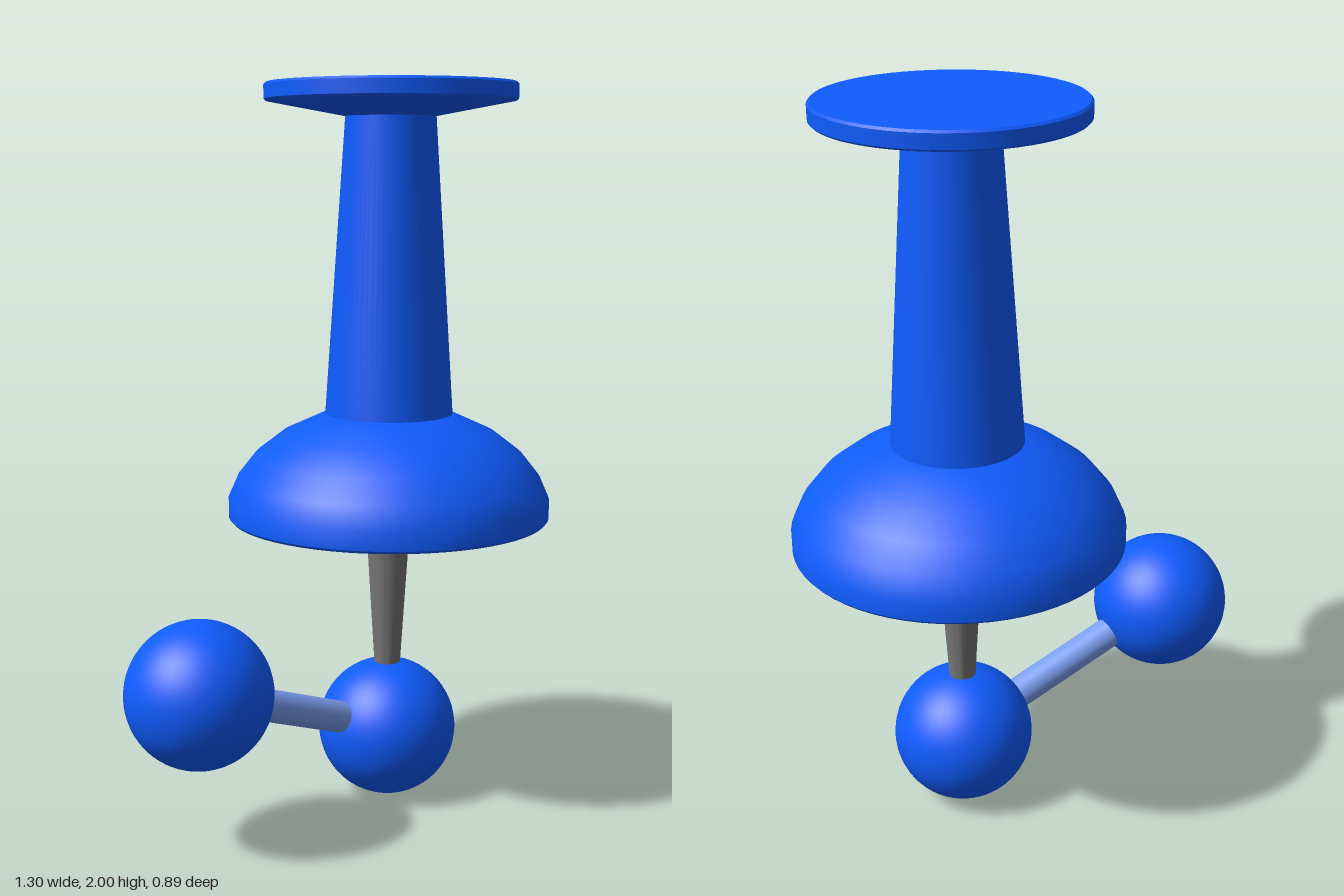
import * as THREE from 'three';
import { toCreasedNormals } from 'three/addons/utils/BufferGeometryUtils.js';

const blue = new THREE.MeshStandardMaterial({ color: 0x0f5cff });
const paleBlue = new THREE.MeshStandardMaterial({ color: 0x7c9ff2 });
const steel = new THREE.MeshStandardMaterial({ color: 0x777777 });

const SEGMENTS = 64;

export function createModel() {
  const model = new THREE.Group();
  model.name = 'pushPin';

  function add(parent, name, geometry, material) {
    const mesh = new THREE.Mesh(geometry, material);
    mesh.name = name;
    parent.add(mesh);
    return mesh;
  }

  // Turned part from [radius, height] pairs, bottom to top
  function turned(profile) {
    const points = profile.map(([r, y]) => new THREE.Vector2(r, y));
    return toCreasedNormals(new THREE.LatheGeometry(points, SEGMENTS), 0.6);
  }

  // Pin, standing on the lower ball
  const pin = new THREE.Group();
  pin.name = 'pin';
  pin.position.x = 0.203;
  model.add(pin);

  add(pin, 'needle', turned([[0, 0.2], [0.025, 0.2], [0.064, 0.83]]), steel);
  add(pin, 'collar', turned([
    [0, 0.815], [0.441, 0.815], [0.447, 0.822], [0.447, 0.873], [0.421, 0.932],
    [0.371, 0.995], [0.296, 1.053], [0.177, 1.108], [0, 1.108],
  ]), blue);
  add(pin, 'grip', turned([[0.177, 1.1], [0.122, 1.92]]), blue);
  add(pin, 'cap', turned([
    [0, 1.912], [0.122, 1.912], [0.336, 1.952], [0.341, 1.957],
    [0.341, 1.994], [0.335, 2], [0, 2],
  ]), blue);

  // Two balls joined by a rod
  const low = new THREE.Vector3(0.203, 0.198, 0);
  const high = new THREE.Vector3(-0.46, 0.44, 0);
  for (const [name, centre] of [['lowerBall', low], ['upperBall', high]]) {
    add(model, name, new THREE.SphereGeometry(0.195, 48, 32), blue).position.copy(centre);
  }

  const span = high.clone().sub(low);
  const rod = add(model, 'rod', new THREE.CylinderGeometry(0.044, 0.044, span.length(), 32), paleBlue);
  rod.position.copy(low).addScaledVector(span, 0.5);
  rod.quaternion.setFromUnitVectors(new THREE.Vector3(0, 1, 0), span.normalize());

  return model;
}
